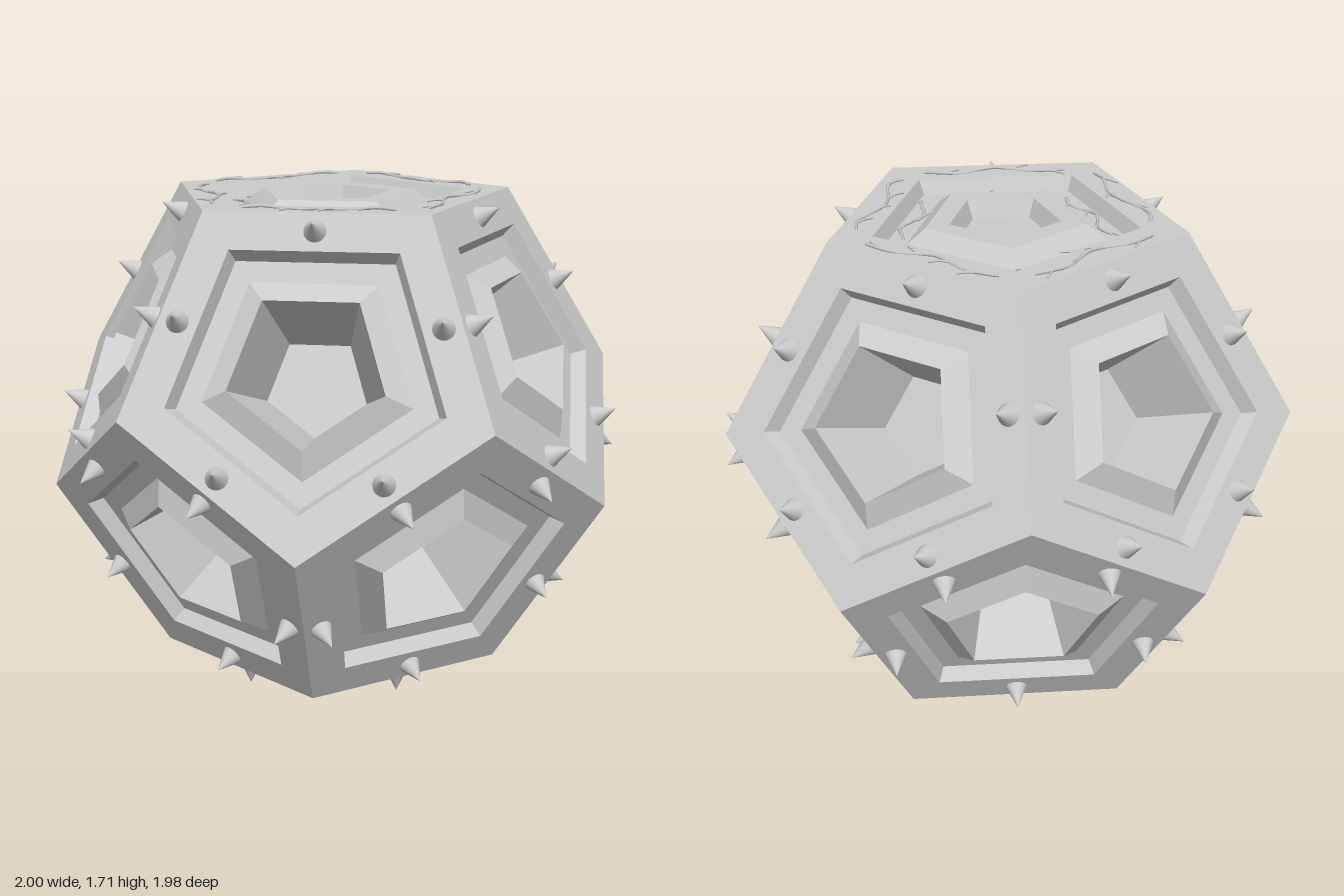
import * as THREE from 'three';

const INRADIUS = 0.81, CENTRE_Y = 0.89, FACE_R = 0.619;
const STEP = Math.PI * 2 / 5;
const grey = new THREE.MeshStandardMaterial({ color: 0xcccccc });

// Pentagon rings as [radius, depth below the face plane], from the rim inwards
const FRAME = [[FACE_R, 0], [0.462, 0], [0.435, 0.05], [0.35, 0.05]];
const DEEP = [...FRAME, [0.262, 0], [0.172, 0.28], [0, 0.28]];
const SHALLOW = [...FRAME, [0.28, 0], [0.195, 0], [0.165, 0.06], [0, 0.06]];

// Joins pentagon rings into one flat-shaded stepped panel facing +y
function panelGeometry(rings) {
  const pos = [];
  const corner = ([r, d], k) => {
    const a = Math.PI + k * STEP;
    return [r * Math.cos(a), -d, r * Math.sin(a)];
  };
  for (let i = 0; i < rings.length - 1; i++) {
    for (let k = 0; k < 5; k++) {
      const o0 = corner(rings[i], k), o1 = corner(rings[i], k + 1);
      const i0 = corner(rings[i + 1], k), i1 = corner(rings[i + 1], k + 1);
      pos.push(...o0, ...i1, ...o1);
      if (rings[i + 1][0] > 0) pos.push(...o0, ...i0, ...i1);
    }
  }
  const g = new THREE.BufferGeometry();
  g.setAttribute('position', new THREE.Float32BufferAttribute(pos, 3));
  g.computeVertexNormals();
  return g;
}

function seeded(seed) {
  return () => (seed = (seed * 16807) % 2147483647) / 2147483647;
}

// Wavy vine along one side of a pentagon, with short curling twigs
function addVine(parent, side, apothem, length, y, rand) {
  const vine = new THREE.Group();
  vine.name = 'vine';
  vine.rotation.y = -side * STEP;
  const tube = (pts, r) => {
    const curve = new THREE.CatmullRomCurve3(pts);
    vine.add(new THREE.Mesh(new THREE.TubeGeometry(curve, pts.length * 4, r, 5), grey));
  };
  const phase = rand() * 6;
  const pts = [];
  for (let i = 0; i <= 8; i++) {
    const t = i / 8;
    pts.push(new THREE.Vector3(
      apothem + 0.022 * Math.sin(phase + t * 9), y + 0.003 * Math.sin(i * 2), (t - 0.5) * length));
  }
  tube(pts, 0.006);
  for (let i = 1; i < 8; i += 2) {
    const s = rand() > 0.5 ? 1 : -1, p = pts[i];
    tube([p, new THREE.Vector3(p.x + s * 0.015, y + 0.003, p.z + 0.03),
      new THREE.Vector3(p.x + s * 0.035, y, p.z + 0.06)], 0.004);
  }
  parent.add(vine);
}

export function createModel() {
  const model = new THREE.Group();
  model.name = 'studdedDodecahedron';
  const deep = panelGeometry(DEEP), shallow = panelGeometry(SHALLOW);
  const studGeo = new THREE.ConeGeometry(0.037, 0.08, 20);

  // One panel: local +y is its normal, local +x points at the middle of an edge
  function addFace(name, normal, along, geometry, studded) {
    const face = new THREE.Group();
    face.name = name;
    const side = new THREE.Vector3().crossVectors(along, normal);
    face.quaternion.setFromRotationMatrix(new THREE.Matrix4().makeBasis(along, normal, side));
    face.position.copy(normal).multiplyScalar(INRADIUS);
    face.position.y += CENTRE_Y;
    const panel = new THREE.Mesh(geometry, grey);
    panel.name = 'steppedPanel';
    face.add(panel);
    // Cone studs at the middle of each frame side
    for (let k = 0; studded && k < 5; k++) {
      const stud = new THREE.Mesh(studGeo, grey);
      stud.name = 'stud';
      stud.position.set(0.44 * Math.cos(k * STEP), 0.04, 0.44 * Math.sin(k * STEP));
      face.add(stud);
    }
    model.add(face);
    return face;
  }

  const V = (x, y, z) => new THREE.Vector3(x, y, z);
  const top = addFace('topFace', V(0, 1, 0), V(1, 0, 0), shallow, false);
  addFace('bottomFace', V(0, -1, 0), V(-1, 0, 0), deep, true);

  // Two belts of five side faces
  const s = 1 / Math.sqrt(5), c = 2 * s;
  for (let k = 0; k < 5; k++) {
    for (const up of [1, -1]) {
      const a = k * STEP + (up > 0 ? 0 : STEP / 2);
      const x = Math.cos(a), z = Math.sin(a);
      addFace(up > 0 ? 'upperFace' : 'lowerFace',
        V(c * x, up * s, c * z), V(-s * x, up * c, -s * z), deep, true);
    }
  }

  // Vines on the top frame and in its recess
  const rand = seeded(77);
  for (let k = 0; k < 5; k++) {
    addVine(top, k, 0.435, 0.5, 0.004, rand);
    addVine(top, k, 0.318, 0.36, -0.046, rand);
  }
  return model;
}
